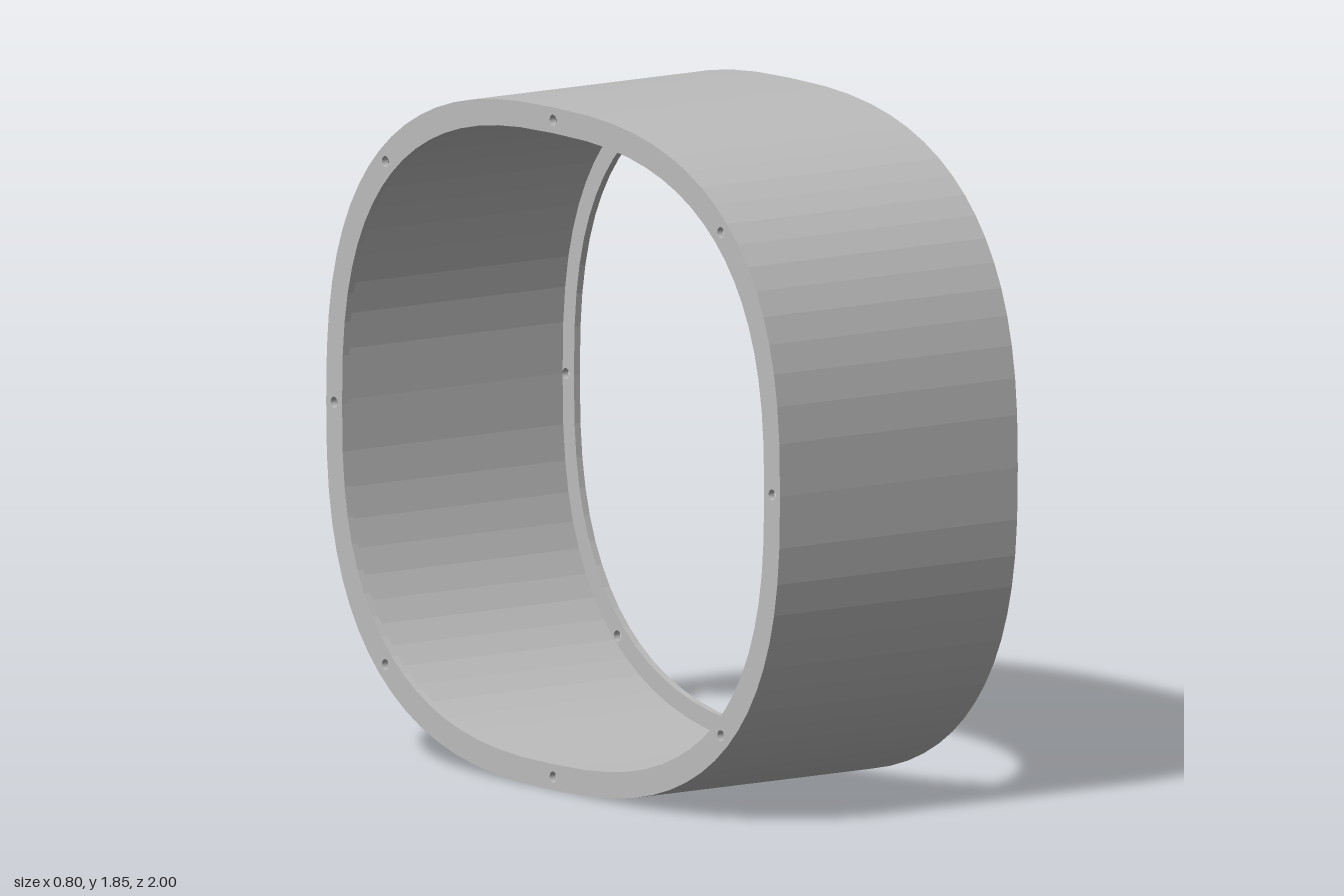
import * as THREE from 'three';

const HALF_Z = 1, HALF_Y = 0.925, HALF_X = 0.4;
const WALL = 0.02, FLANGE_WIDTH = 0.07, FLANGE_DEPTH = 0.02;
const HOLE_RADIUS = 0.015, SEGMENTS = 72, EXPONENT = 2.6;

// Point on the rounded-square outline, inset from the outer edge
function outlinePoint(angle, inset) {
  const c = Math.cos(angle), s = Math.sin(angle);
  const bulge = (v) => Math.abs(v) < 1e-9 ? 0 : Math.sign(v) * Math.pow(Math.abs(v), 2 / EXPONENT);
  return new THREE.Vector2((HALF_Z - inset) * bulge(c), (HALF_Y - inset) * bulge(s));
}

function outline(inset) {
  return Array.from({ length: SEGMENTS }, (_, i) => outlinePoint((i / SEGMENTS) * Math.PI * 2, inset));
}

// Ring-shaped profile of the given radial width
function ringShape(width) {
  const shape = new THREE.Shape(outline(0));
  shape.holes.push(new THREE.Path(outline(width)));
  return shape;
}

// Extrude a profile along x, centred on the given x
function extrudeAlongX(shape, depth, x) {
  const geometry = new THREE.ExtrudeGeometry(shape, { depth, bevelEnabled: false, curveSegments: 20 });
  geometry.translate(0, 0, -depth / 2);
  geometry.rotateY(Math.PI / 2);
  geometry.translate(x, HALF_Y, 0);
  return geometry;
}

export function createModel() {
  const group = new THREE.Group();
  group.name = 'flangedDuct';
  const metal = new THREE.MeshStandardMaterial({ color: 0xbdbdbd });
  metal.name = 'grey metal';

  const add = (name, geometry) => {
    const mesh = new THREE.Mesh(geometry, metal);
    mesh.name = name;
    group.add(mesh);
  };

  // Thin shell between the flanges
  add('wall', extrudeAlongX(ringShape(WALL), 2 * (HALF_X - FLANGE_DEPTH), 0));

  // End flanges, each drilled with eight bolt holes
  const flange = ringShape(FLANGE_WIDTH);
  for (let i = 0; i < 8; i++) {
    const p = outlinePoint((i * Math.PI) / 4, FLANGE_WIDTH / 2);
    flange.holes.push(new THREE.Path().absarc(p.x, p.y, HOLE_RADIUS, 0, Math.PI * 2, true));
  }
  for (const [name, side] of [['leftFlange', 1], ['rightFlange', -1]]) {
    add(name, extrudeAlongX(flange, FLANGE_DEPTH, side * (HALF_X - FLANGE_DEPTH / 2)));
  }

  return group;
}
